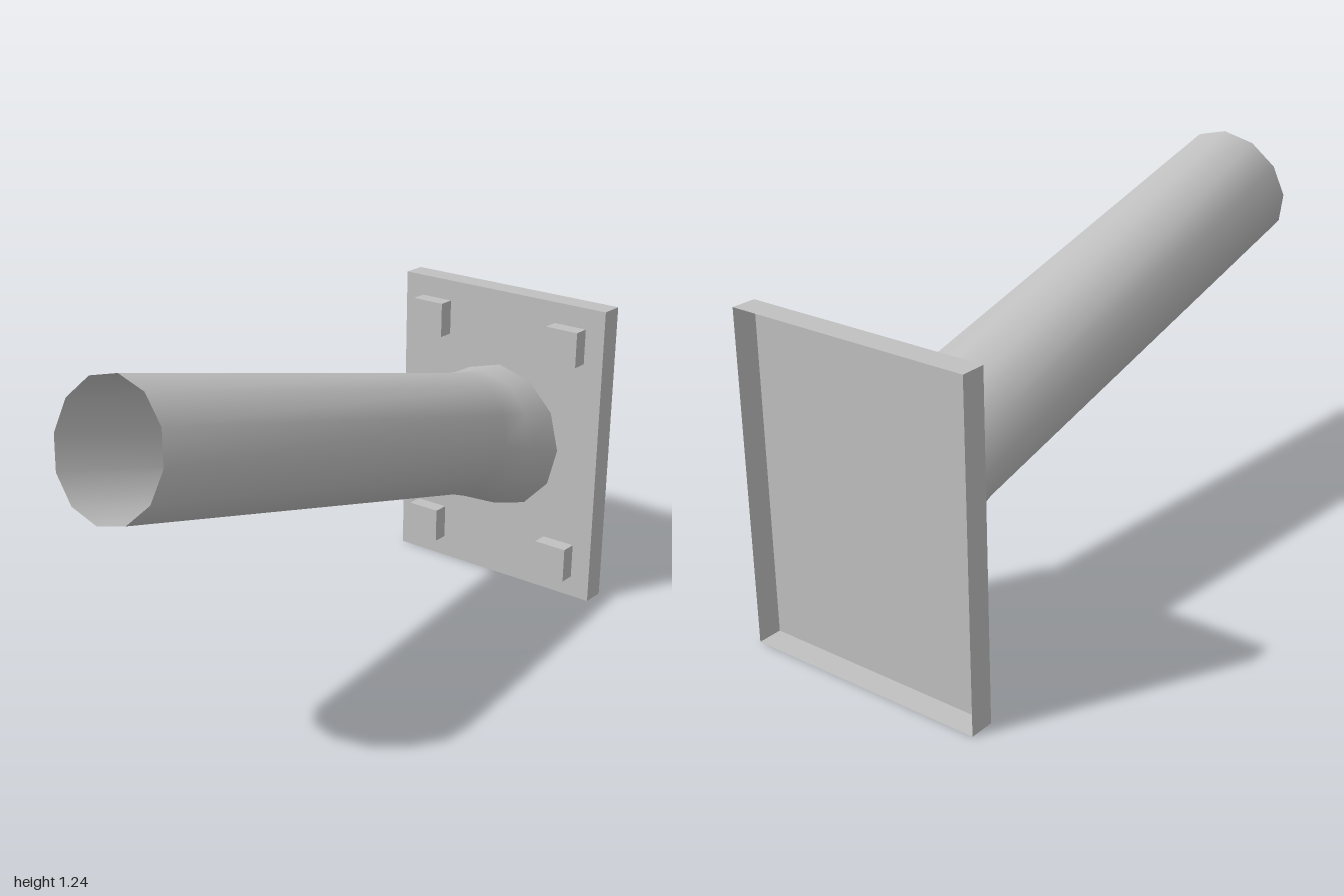
import * as THREE from 'three';

// Box without its rear face (a thin open shell)
function openBackBox(w, h, d) {
  const geo = new THREE.BoxGeometry(w, h, d);
  geo.setIndex(Array.from(geo.index.array).slice(0, 30));
  geo.clearGroups();
  return geo;
}

// Smooth tube skinned over elliptical rings: [topY, topZ, bottomY, bottomZ, halfWidth]
function skinRings(rings, sides) {
  const pos = [], index = [];
  for (const [ty, tz, by, bz, w] of rings) {
    for (let i = 0; i < sides; i++) {
      const a = (i / sides) * Math.PI * 2;
      const t = (1 + Math.cos(a)) / 2;
      pos.push(w * Math.sin(a), by + (ty - by) * t, bz + (tz - bz) * t);
    }
  }
  for (let r = 0; r < rings.length - 1; r++) {
    for (let i = 0; i < sides; i++) {
      const j = (i + 1) % sides;
      const a = r * sides + i, b = r * sides + j;
      const c = a + sides, d = b + sides;
      index.push(a, c, b, b, c, d);
    }
  }
  const geo = new THREE.BufferGeometry();
  geo.setAttribute('position', new THREE.Float32BufferAttribute(pos, 3));
  geo.setIndex(index);
  geo.computeVertexNormals();
  return geo;
}

export function createModel() {
  const model = new THREE.Group();
  model.name = 'wallMountedPipe';
  const metal = new THREE.MeshStandardMaterial({ color: 0xc0c0c0, side: THREE.DoubleSide });
  metal.name = 'light grey metal';

  const add = (name, geo, x, y, z) => {
    const mesh = new THREE.Mesh(geo, metal);
    mesh.name = name;
    mesh.position.set(x, y, z);
    model.add(mesh);
    return mesh;
  };

  // Mounting plate, hollow at the rear
  add('mountingPlate', openBackBox(0.82, 1.063, 0.08), 0, 0.5315, -0.96);

  // Square bolts in the four corners
  for (const x of [-0.277, 0.277]) {
    for (const y of [0.136, 0.929]) {
      add('bolt', openBackBox(0.122, 0.122, 0.055), x, y, -0.8925);
    }
  }

  // Tilted pipe, open at the front and flared toward the plate
  const rings = [
    [0.797, -0.92, 0.27, -0.92, 0.253],
    [0.803, -0.82, 0.358, -0.73, 0.226],
    [0.822, -0.70, 0.41, -0.60, 0.213],
    [1.235, 0.895, 0.83, 1.0, 0.21],
  ];
  // rings run from rear to front, so reverse them for outward faces
  add('pipe', skinRings(rings.reverse(), 12), 0, 0, 0);

  // Disc closing the pipe, just behind the plate face
  const cap = add('pipeEndCap', new THREE.CircleGeometry(1, 12), 0, 0.5335, -0.922);
  cap.rotation.y = Math.PI;
  cap.scale.set(0.253, 0.2635, 1);
  return model;
}
